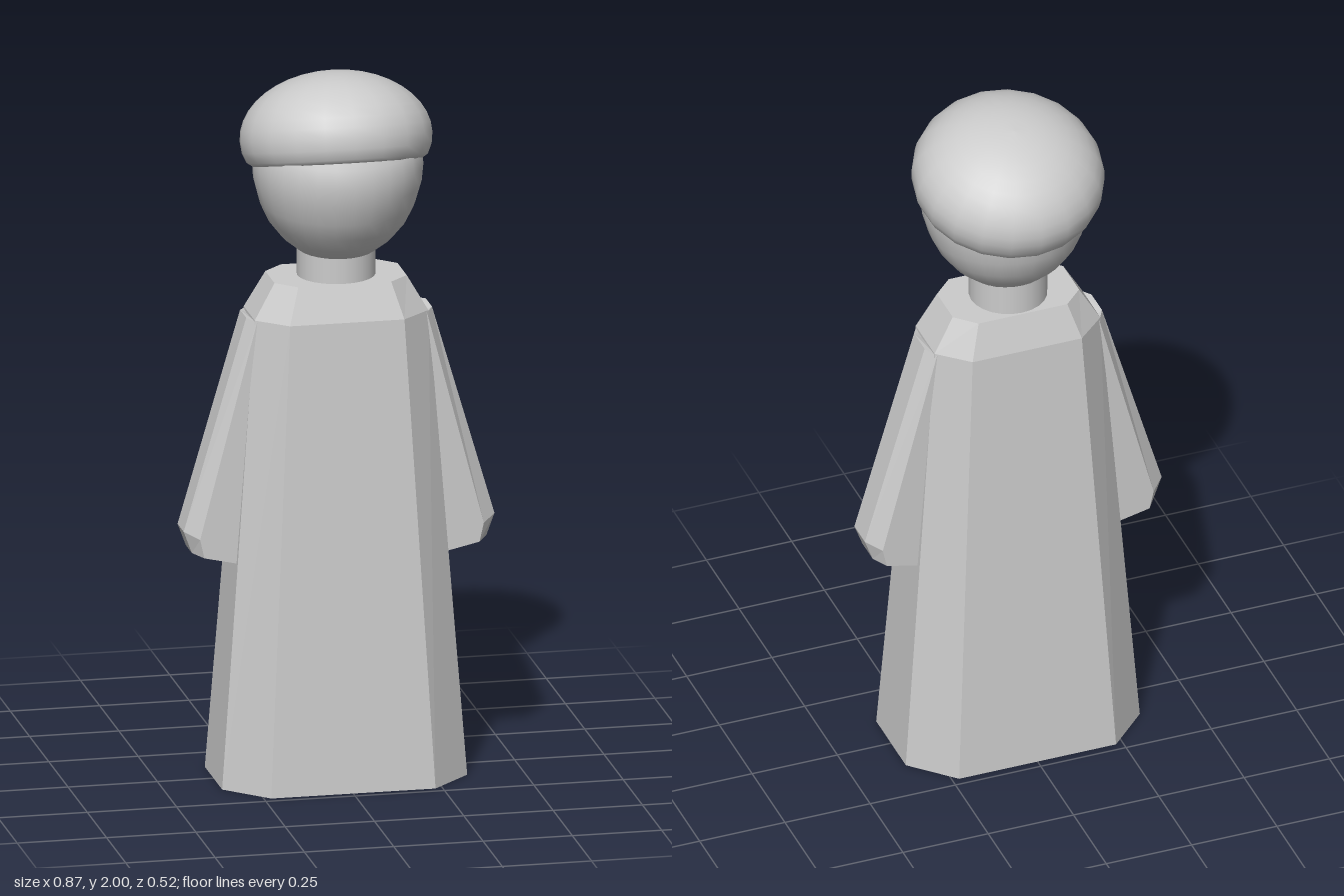
import * as THREE from 'three';

const smooth = new THREE.MeshStandardMaterial({ color: 0xcccccc });
const faceted = new THREE.MeshStandardMaterial({ color: 0xcccccc, flatShading: true });

function mesh(name, geometry, material) {
  const m = new THREE.Mesh(geometry, material);
  m.name = name;
  return m;
}

// Joins rings of points, lowest first, each counterclockwise from above, and caps both ends
function loft(rings) {
  const pos = [];
  const tri = (a, b, c) => pos.push(...a, ...b, ...c);
  const n = rings[0].length;
  for (let i = 0; i < rings.length - 1; i++) {
    for (let j = 0; j < n; j++) {
      const k = (j + 1) % n;
      tri(rings[i][j], rings[i][k], rings[i + 1][k]);
      tri(rings[i][j], rings[i + 1][k], rings[i + 1][j]);
    }
  }
  const low = rings[0], top = rings[rings.length - 1];
  for (let j = 1; j < n - 1; j++) {
    tri(low[0], low[j + 1], low[j]);
    tri(top[0], top[j], top[j + 1]);
  }
  const g = new THREE.BufferGeometry();
  g.setAttribute('position', new THREE.Float32BufferAttribute(pos, 3));
  g.computeVertexNormals();
  return g;
}

// Rectangle with cut corners: half sizes x, z and the half lengths of the flat sides
const robeRing = (y, x, z, flatX, flatZ) => [
  [x, y, flatZ], [x, y, -flatZ], [flatX, y, -z], [-flatX, y, -z],
  [-x, y, -flatZ], [-x, y, flatZ], [-flatX, y, z], [flatX, y, z],
];

// Sleeve section: narrow outer face, chamfers, wide sides running into the robe
const sleeveRing = ([ox, oy], [mx, my], [ix, iy]) => [
  [ox, oy, 0.04], [ox, oy, -0.04], [mx, my, -0.078],
  [ix, iy, -0.078], [ix, iy, 0.078], [mx, my, 0.078],
];

const lathe = (points, segments) =>
  new THREE.LatheGeometry(points.map(([r, y]) => new THREE.Vector2(r, y)), segments);

export function createModel() {
  const group = new THREE.Group();

  // Tapered robe with sloped shoulders
  group.add(mesh('robe', loft([
    robeRing(0, 0.343, 0.226, 0.23, 0.113),
    robeRing(1.32, 0.243, 0.147, 0.16, 0.072),
    robeRing(1.42, 0.185, 0.114, 0.13, 0.06),
  ]), faceted));

  // Sleeves, the right one turned half way round
  const sleeve = loft([
    sleeveRing([0.412, 0.658], [0.385, 0.652], [0.22, 0.615]),
    sleeveRing([0.435, 0.72], [0.397, 0.705], [0.22, 0.66]),
    sleeveRing([0.26, 1.32], [0.238, 1.315], [0.15, 1.27]),
  ]);
  group.add(mesh('leftArm', sleeve, faceted));
  const rightArm = mesh('rightArm', sleeve, faceted);
  rightArm.rotation.y = Math.PI;
  group.add(rightArm);

  // Neck
  const neck = mesh('neck', new THREE.CylinderGeometry(0.108, 0.108, 0.16, 24), smooth);
  neck.position.y = 1.48;
  group.add(neck);

  // Egg-shaped head
  const head = mesh('head', lathe([
    [0, -0.222], [0.06, -0.218], [0.11, -0.2], [0.155, -0.163], [0.19, -0.118],
    [0.215, -0.065], [0.231, -0.005], [0.235, 0.045], [0.228, 0.1], [0.19, 0.16], [0, 0.19],
  ], 28), smooth);
  head.position.set(0, 1.7, 0.018);
  head.rotation.x = 0.07;
  group.add(head);

  // Soft cap tipped backwards, with a rolled lower edge
  const capProfile = [[0, -0.055], [0.22, -0.06], [0.235, -0.07], [0.25, -0.06], [0.262, -0.032]];
  for (let i = 0; i <= 10; i++) {
    const a = (i / 10) * Math.PI / 2;
    capProfile.push([0.266 * Math.cos(a), 0.183 * Math.sin(a)]);
  }
  const cap = mesh('cap', lathe(capProfile, 20), smooth);
  cap.position.y = 1.81;
  cap.rotation.x = -0.267;
  group.add(cap);

  return group;
}
